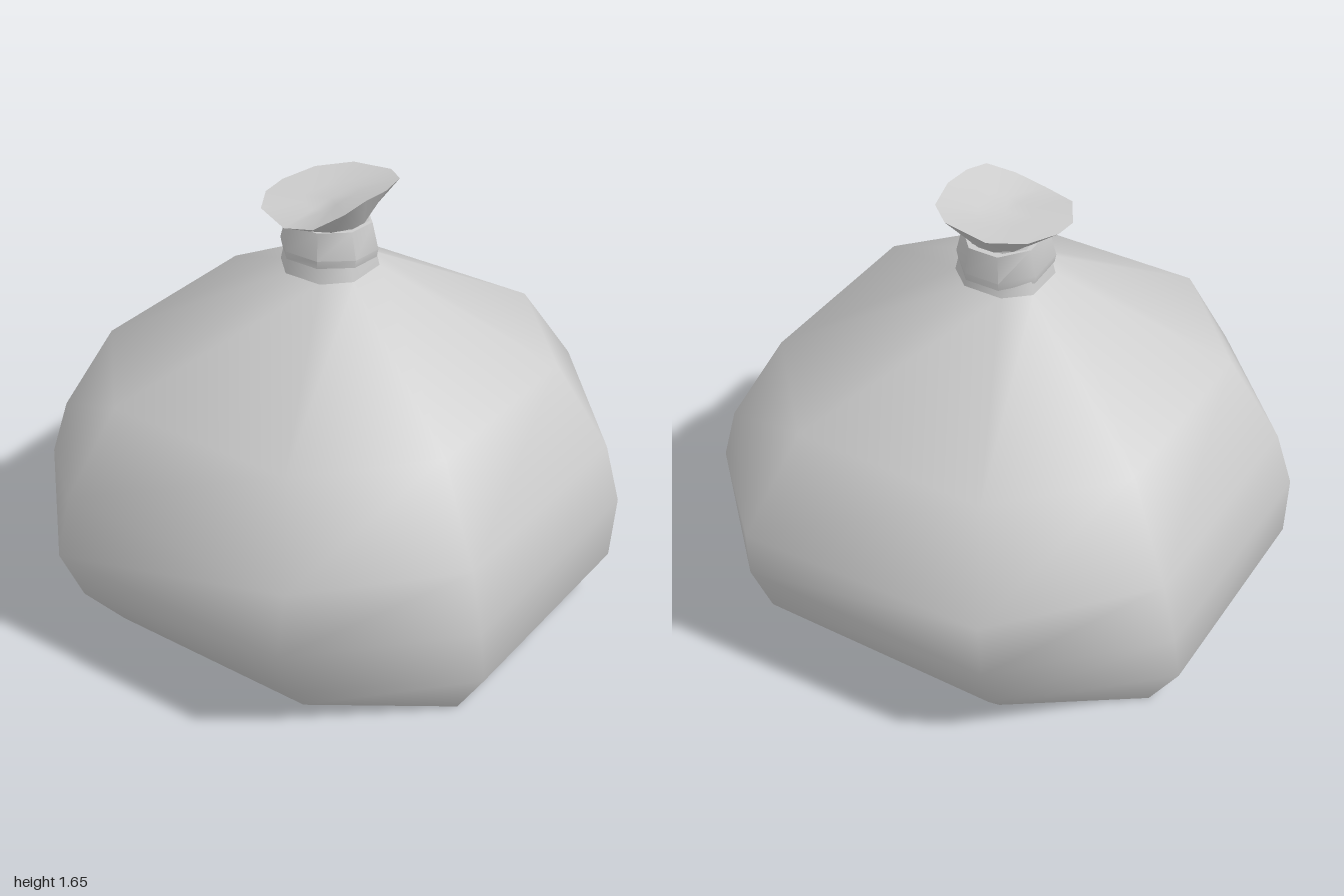
import * as THREE from 'three';
import { toCreasedNormals } from 'three/addons/utils/BufferGeometryUtils.js';

const material = new THREE.MeshStandardMaterial({ color: 0xcccccc });

// Skin a stack of closed rings (counterclockwise from above); keep(band, side) picks faces.
function loft(rings, keep = () => true) {
  const n = rings[0].length;
  const index = [];
  for (let r = 0; r < rings.length - 1; r++) {
    for (let i = 0; i < n; i++) {
      if (!keep(r, i)) continue;
      const a = r * n + i, b = r * n + (i + 1) % n;
      index.push(a, b, b + n, a, b + n, a + n);
    }
  }
  const geometry = new THREE.BufferGeometry();
  geometry.setAttribute('position', new THREE.Float32BufferAttribute(rings.flat(2), 3));
  geometry.setIndex(index);
  geometry.computeVertexNormals();
  return geometry;
}

// Octagon: half width, front and back depth, and the half lengths of its flat sides.
function octagon([y, hx, zf, zb, xs, sf, sb]) {
  return [
    [hx, y, sf], [hx, y, -sb], [xs, y, -zb], [-xs, y, -zb],
    [-hx, y, -sb], [-hx, y, sf], [-xs, y, zf], [xs, y, zf],
  ];
}

// Ring of n points whose height tilts toward the back.
function ring(n, y, rx, rz, cz = 0, tilt = 0) {
  return Array.from({ length: n }, (_, i) => {
    const a = (i + 0.5) / n * Math.PI * 2;
    const z = cz - Math.sin(a) * rz;
    return [Math.cos(a) * rx, y + z * tilt, z];
  });
}

export function createModel() {
  const group = new THREE.Group();
  const add = (name, geometry) => {
    const mesh = new THREE.Mesh(geometry, material);
    mesh.name = name;
    group.add(mesh);
  };

  // Bulging sack, with one corner at the back pushed out
  const rings = [
    [0, 0.87, 0.76, 0.73, 0.42, 0.45, 0.42],
    [0.19, 0.985, 0.91, 0.885, 0.47, 0.47, 0.43],
    [0.41, 0.98, 1.0, 0.965, 0.49, 0.5, 0.48],
    [0.63, 0.92, 0.94, 0.97, 0.48, 0.47, 0.47],
    [0.97, 0.74, 0.785, 0.77, 0.37, 0.38, 0.37],
    [1.33, 0.16, 0.175, 0.145, 0.075, 0.09, 0.07],
  ].map(octagon);
  rings[3][2] = [0.46, 0.63, -1.0];
  const isPanel = (band, side) => band === 0 && side % 4 === 0;
  add('sackBody', loft(rings, (r, i) => !isPanel(r, i)));

  // Flat tucked panels low on both sides
  add('sidePanels', loft(rings, isPanel).toNonIndexed());
  group.children[1].geometry.computeVertexNormals();

  // Flat underside
  const centre = rings[0].map(() => [0, 0, 0]);
  add('underside', loft([centre, rings[0]]));

  // Gathered neck
  add('neck', loft([
    octagon([1.33, 0.16, 0.175, 0.145, 0.075, 0.09, 0.07]),
    octagon([1.38, 0.15, 0.165, 0.135, 0.07, 0.085, 0.065]),
    octagon([1.52, 0.12, 0.13, 0.11, 0.06, 0.065, 0.055]),
  ]));

  // Tie wrapped round the neck, slightly tilted
  add('tie', toCreasedNormals(loft([
    ring(8, 1.385, 0.14, 0.14, 0.015, 0.09),
    ring(8, 1.375, 0.172, 0.178, 0.015, 0.09),
    ring(8, 1.405, 0.178, 0.182, 0.015, 0.09),
    ring(8, 1.505, 0.152, 0.165, 0.012, 0.09),
    ring(8, 1.505, 0.1, 0.1, 0.012, 0.09),
  ]), 0.85));

  // Flared mouth above the tie: an uneven, tilted rim with a shallow dished top
  const rim = [
    [0.2, 1.65, 0.08], [0.21, 1.65, -0.03], [0.18, 1.64, -0.16], [0.1, 1.63, -0.225],
    [-0.07, 1.61, -0.235], [-0.18, 1.595, -0.15], [-0.23, 1.58, -0.02], [-0.23, 1.57, 0.08],
    [-0.16, 1.57, 0.2], [-0.02, 1.555, 0.255], [0.1, 1.58, 0.25], [0.18, 1.63, 0.18],
  ];
  const base = ring(12, 1.5, 0.125, 0.135, 0.01, 0.06);
  const dish = rim.map(([x, y, z]) => [x * 0.4, 1.585 + (y - 1.6) * 0.4, z * 0.4]);
  const middle = rim.map(() => [0, 1.58, 0.01]);
  add('mouth', toCreasedNormals(loft([base, rim, dish, middle]), 0.75));

  return group;
}
